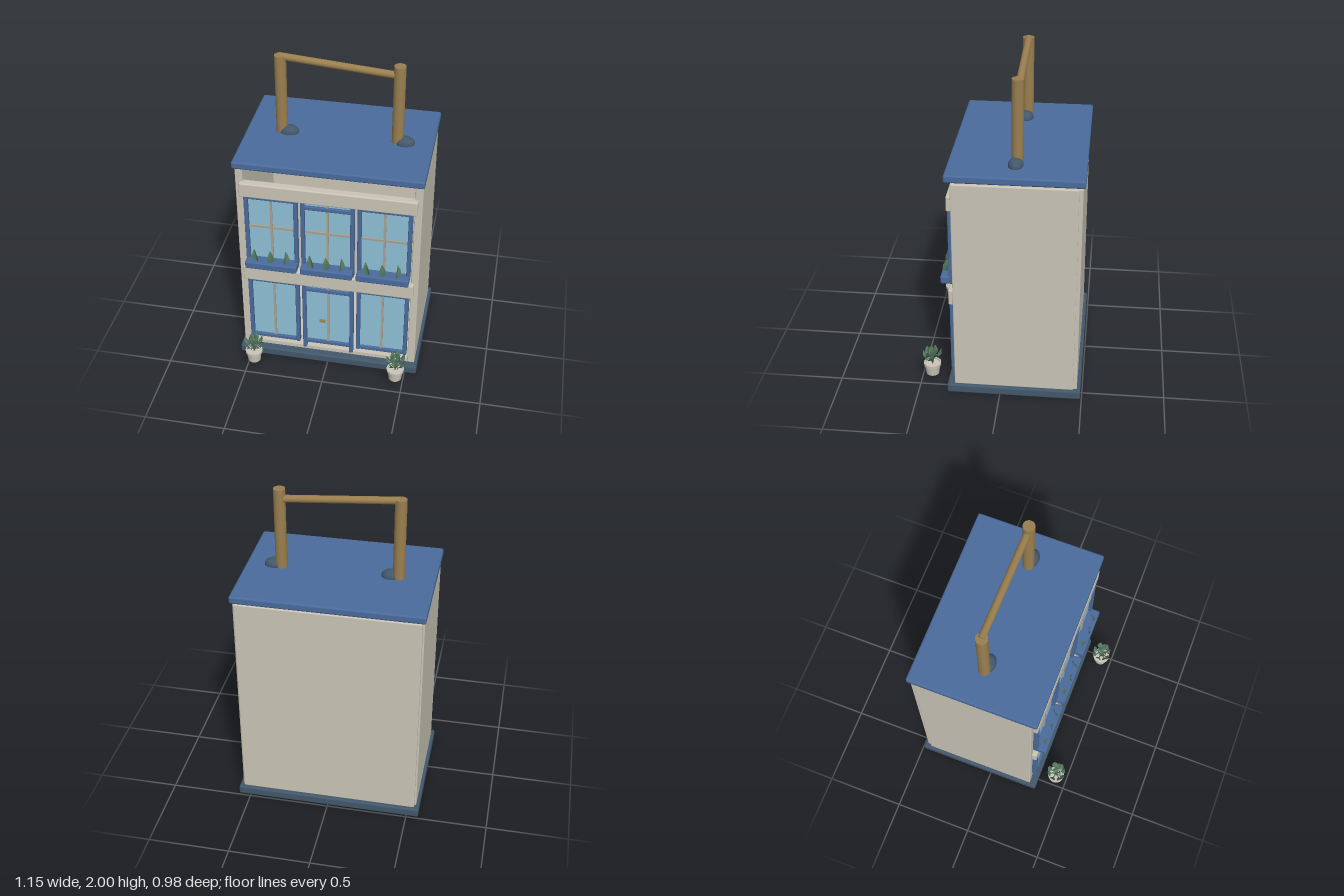
import * as THREE from 'three';
import { RoundedBoxGeometry } from 'three/addons/geometries/RoundedBoxGeometry.js';

const mat = (color, extra = {}) => {
  const m = new THREE.MeshStandardMaterial({ color, ...extra });
  return m;
};
const M = {
  wall: mat(0xcac5b7), blue: mat(0x4a6b9c), slate: mat(0x43586c), glass: mat(0x8fc1d6),
  wood: mat(0x9a7f4f), bar: mat(0xaaa292), soil: mat(0x4a3a2c),
  leaf: mat(0x54785f, { side: THREE.DoubleSide, flatShading: true }),
};

function add(parent, name, geo, material, x = 0, y = 0, z = 0) {
  const m = new THREE.Mesh(geo, material);
  m.name = name;
  m.position.set(x, y, z);
  parent.add(m);
  return m;
}

// Box given by its extents; r rounds the edges
function block(parent, name, material, [x0, x1], [y0, y1], [z0, z1], r = 0) {
  const s = [x1 - x0, y1 - y0, z1 - z0];
  const geo = r ? new RoundedBoxGeometry(...s, 2, r) : new THREE.BoxGeometry(...s);
  return add(parent, name, geo, material, (x0 + x1) / 2, (y0 + y1) / 2, (z0 + z1) / 2);
}

// Pointed leaf from the origin along +y, folded at its midrib and curling back
function leafGeometry(length, width) {
  const pos = [], idx = [];
  [0, 0.25, 0.5, 0.75, 1].forEach((t, i) => {
    const w = width * 0.5 * Math.sin(Math.PI * Math.pow(t, 0.8)) + 0.002;
    const y = t * length, z = -0.25 * length * t * t;
    pos.push(-w, y, z + w * 0.4, 0, y, z, w, y, z + w * 0.4);
    if (i) for (let k = 0; k < 2; k++) {
      const a = (i - 1) * 3 + k;
      idx.push(a, a + 1, a + 3, a + 1, a + 4, a + 3);
    }
  });
  const g = new THREE.BufferGeometry();
  g.setAttribute('position', new THREE.Float32BufferAttribute(pos, 3));
  g.setIndex(idx);
  g.computeVertexNormals();
  return g;
}

// Framed glazing centred on x = cx
function windowUnit(name, cx, y0, y1, { cross, legs = 0, rail }) {
  const g = new THREE.Group();
  g.name = name;
  const w = 0.162, z = [0.268, 0.305];
  for (const s of [-1, 1]) {
    const a = cx + s * w, b = cx + s * (w - 0.024);
    block(g, 'framePost', M.blue, [Math.min(a, b), Math.max(a, b)], [y0 - legs, y1], z, 0.005);
  }
  const inner = [cx - w + 0.02, cx + w - 0.02];
  block(g, 'bottomRail', M.blue, inner, [y0, y0 + 0.024], [0.272, 0.3], 0.004);
  block(g, 'topRail', M.blue, inner, [rail, rail + 0.024], [0.272, 0.3], 0.004);
  block(g, 'glass', M.glass, inner, [y0 + 0.01, y1], [0.276, 0.283]);
  block(g, 'verticalBar', M.bar, [cx - 0.007, cx + 0.007], [y0 + 0.02, y1], [0.272, 0.292]);
  if (cross) block(g, 'crossBar', M.bar, inner, [cross - 0.007, cross + 0.007], [0.272, 0.292]);
  return g;
}

function windowBox(cx) {
  const g = new THREE.Group();
  g.name = 'windowBox';
  block(g, 'planter', M.blue, [cx - 0.16, cx + 0.16], [0.738, 0.786], [0.27, 0.357], 0.008);
  [-1, 0, 1].forEach((i) => {
    const leaf = add(g, 'planterLeaf', leafGeometry(0.085, 0.042), M.leaf, cx + i * 0.085, 0.782, 0.335);
    leaf.rotation.set(0.15, i * 0.6 + 0.3, -0.35 * i);
  });
  return g;
}

function pottedPlant(x) {
  const g = new THREE.Group();
  g.name = 'pottedPlant';
  g.position.set(x, 0.06, 0.43);
  const profile = [[0, 0], [0.04, 0], [0.047, 0.06], [0.053, 0.06], [0.054, 0.078], [0.046, 0.078], [0.045, 0.068], [0, 0.068]]
    .map(([r, y]) => new THREE.Vector2(r, y));
  const pot = add(g, 'pot', new THREE.LatheGeometry(profile, 24), M.wall);
  pot.geometry = pot.geometry.toNonIndexed();
  pot.geometry.computeVertexNormals();
  // Stems fanning out, each with a leaf at its end
  for (let i = 0; i < 14; i++) {
    const outer = i < 9, a = i * 2.4;
    const r = outer ? 0.032 : 0.014, h = outer ? 0.115 + 0.012 * (i % 3) : 0.14;
    const tip = new THREE.Vector3(Math.cos(a) * r, h, Math.sin(a) * r);
    const path = new THREE.QuadraticBezierCurve3(new THREE.Vector3(0, 0.06, 0), new THREE.Vector3(0, 0.1, 0), tip);
    add(g, 'stem', new THREE.TubeGeometry(path, 4, 0.003, 5), M.leaf);
    const leaf = add(g, 'leaf', leafGeometry(0.048, 0.034), M.leaf, tip.x, tip.y - 0.005, tip.z);
    leaf.rotation.order = 'YXZ';
    leaf.rotation.set(outer ? 0.85 : 0.4, Math.PI / 2 - a, 0);
  }
  return g;
}

export function createModel() {
  const model = new THREE.Group();
  model.name = 'house';

  // Shell: open-fronted box on a plinth with a flat roof
  block(model, 'plinth', M.slate, [-0.575, 0.575], [0.004, 0.062], [-0.492, 0.323], 0.012);
  block(model, 'floor', M.wall, [-0.52, 0.52], [0.06, 0.087], [-0.45, 0.275]);
  block(model, 'roof', M.blue, [-0.565, 0.565], [1.431, 1.479], [-0.484, 0.314], 0.012);
  block(model, 'backWall', M.wall, [-0.545, 0.545], [0.06, 1.42], [-0.47, -0.43], 0.006);
  for (const s of [-1, 1])
    block(model, 'sideWall', M.wall, s < 0 ? [-0.556, -0.51] : [0.51, 0.556], [0.06, 1.42], [-0.447, 0.278], 0.006);

  // Facade beams
  for (const y of [[0.61, 0.712], [1.235, 1.33]])
    block(model, 'facadeBeam', M.wall, [-0.53, 0.53], y, [0.255, 0.308], 0.008);

  // Ground and upper floor bays
  for (const cx of [-0.343, 0, 0.343]) {
    const mid = cx === 0;
    model.add(windowUnit(mid ? 'door' : 'lowerWindow', cx, 0.14, 0.62,
      { legs: mid ? 0.04 : 0, rail: mid ? 0.565 : 0.597 }));
    model.add(windowUnit('upperWindow', cx, 0.76, 1.24,
      { cross: 1.02, legs: mid ? 0.038 : 0, rail: mid ? 1.187 : 1.22 }));
    model.add(windowBox(cx));
  }
  block(model, 'doorHandle', M.wood, [-0.055, -0.02], [0.323, 0.335], [0.283, 0.3]);

  // Carrying handle: two posts, a sloping bar and oval feet
  for (const x of [-0.35, 0.35])
    add(model, 'handlePost', new THREE.CylinderGeometry(0.035, 0.035, 0.51, 32), M.wood, x, 1.73, -0.085);
  const a = new THREE.Vector3(-0.35, 1.978, -0.087), b = new THREE.Vector3(0.35, 1.922, -0.087);
  const bar = add(model, 'handleBar', new THREE.CylinderGeometry(0.022, 0.022, a.distanceTo(b), 24), M.wood);
  bar.position.copy(a).lerp(b, 0.5);
  bar.quaternion.setFromUnitVectors(new THREE.Vector3(0, 1, 0), b.clone().sub(a).normalize());
  for (const x of [-0.306, 0.394]) {
    const foot = add(model, 'handleFoot', new THREE.SphereGeometry(1, 28, 16), M.slate, x, 1.484, -0.078);
    foot.scale.set(0.06, 0.04, 0.044);
  }

  for (const x of [-0.455, 0.455]) model.add(pottedPlant(x));
  return model;
}
